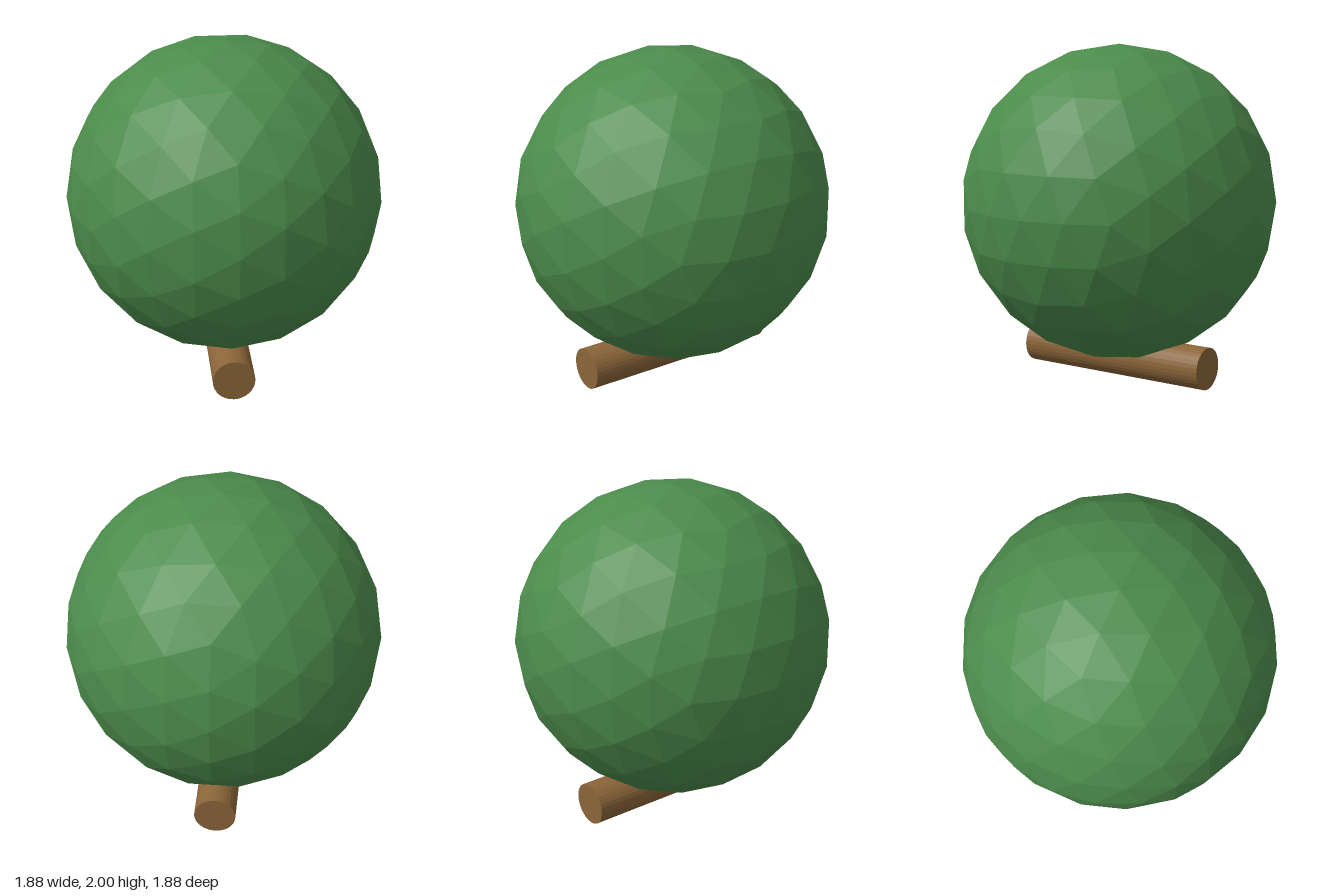
import * as THREE from 'three';

// Icosphere made by splitting every triangle in half twice, projecting to the sphere each time
function icosphere(radius) {
  const base = new THREE.IcosahedronGeometry(1, 1).getAttribute('position');
  const indices = Array.from({ length: base.count }, (_, i) => i);
  return new THREE.PolyhedronGeometry(Array.from(base.array), indices, radius, 1);
}

export function createModel() {
  const group = new THREE.Group();
  group.name = 'roundTree';

  // Faceted ball of leaves
  const foliage = new THREE.Mesh(
    icosphere(0.9375),
    new THREE.MeshStandardMaterial({ color: 0x4c8c4c, flatShading: true })
  );
  foliage.name = 'foliage';
  foliage.position.y = 1.0625;
  group.add(foliage);

  // Log lying along z beneath the foliage
  const trunk = new THREE.Mesh(
    new THREE.CylinderGeometry(0.125, 0.125, 1.25, 32).rotateX(Math.PI / 2),
    new THREE.MeshStandardMaterial({ color: 0x8b6539, flatShading: true })
  );
  trunk.name = 'trunk';
  trunk.position.y = 0.125;
  group.add(trunk);

  return group;
}
